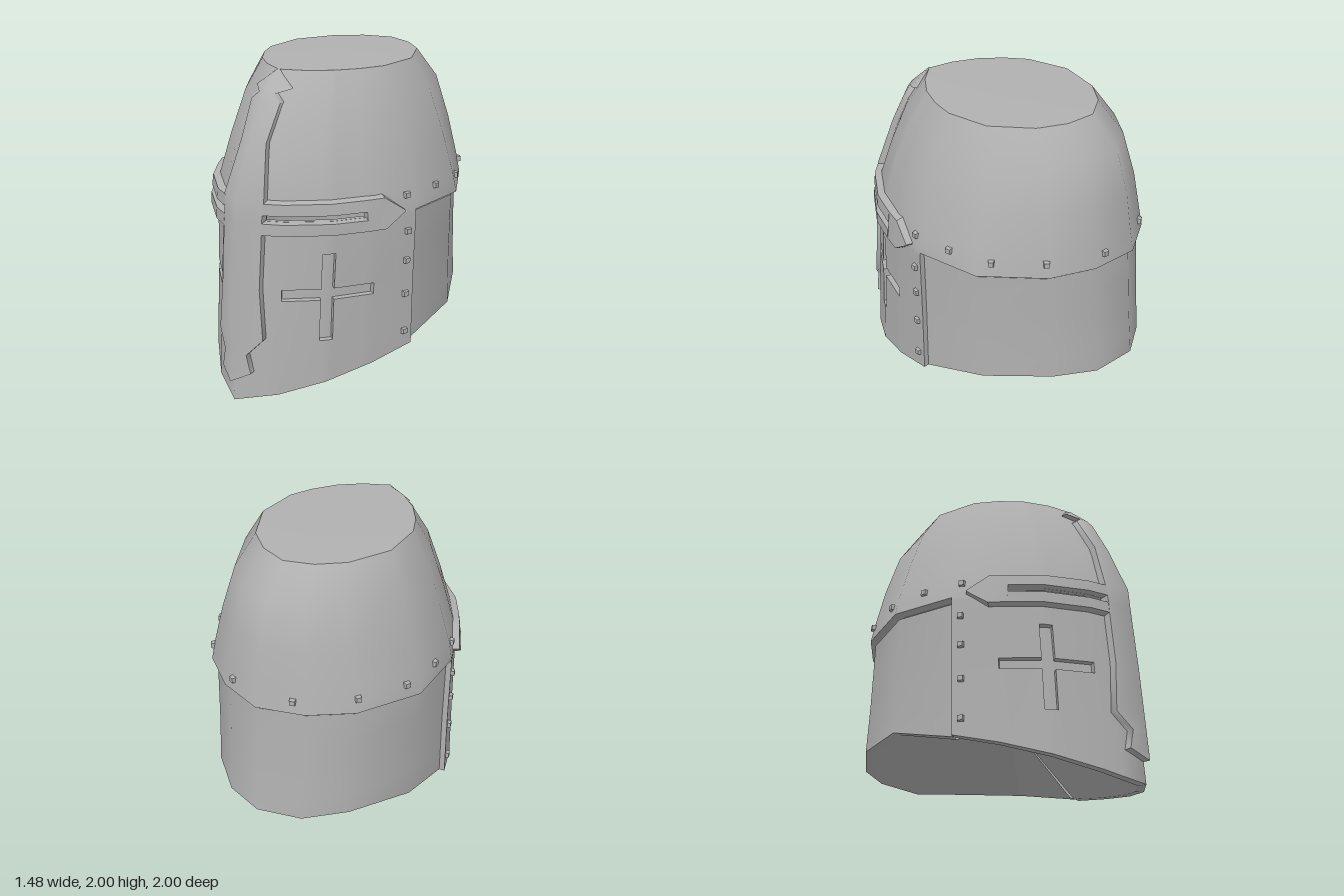
import * as THREE from 'three';
import { toCreasedNormals } from 'three/addons/utils/BufferGeometryUtils.js';

// Half outline of the helm (x, z) from the front ridge (u = 0) to the back (u = 8)
const OUTLINE = [[0, .92], [.24, .79], [.45, .6], [.61, .36], [.72, .1], [.74, -.32], [.53, -.69], [.29, -.87], [0, -.96]];
// Height, width factor, front reach, back reach
const PROFILE = [[0, .98, .97, 1.07], [.7, .985, .92, 1.0], [1.15, 1, .88, .965], [1.28, .965, .87, .94],
  [1.53, .865, .775, .9], [1.8, .745, .65, .82], [2, .6, .495, .635]];
// Height of the lower edge at each outline point
const HEM = [.005, .055, .125, .2, .27, .385, .41, .385, .4];

const lerp = THREE.MathUtils.lerp;
function sampleHalf(table, u) {
  const i = Math.min(Math.floor(u), table.length - 2);
  return [table[i], table[i + 1], u - i];
}
function profile(y) {
  let i = 0;
  while (i < PROFILE.length - 2 && y > PROFILE[i + 1][0]) i++;
  const a = PROFILE[i], b = PROFILE[i + 1], t = (y - a[0]) / (b[0] - a[0]);
  return [1, 2, 3].map(k => lerp(a[k], b[k], t));
}
// Point on the helm surface; negative u is the mirrored side
function surface(u, y) {
  let a = Math.abs(u), s = Math.sign(u) || 1;
  if (a > 8) { a = 16 - a; s = -s; }
  const [p, q, t] = sampleHalf(OUTLINE, a), [w, f, b] = profile(y);
  const z = lerp(p[1], q[1], t);
  return new THREE.Vector3(s * w * lerp(p[0], q[0], t), y, z > 0 ? z * f / .92 : z * b / .96);
}
function normalAt(u, y) {
  const d = surface(u + .3, y).sub(surface(u - .3, y));
  return new THREE.Vector3(-d.z, 0, d.x).normalize();
}
const at = (u, y, d) => surface(u, y).addScaledVector(normalAt(u, y), d);

function quad(out, a, b, c, d) {
  for (const p of [a, b, c, a, c, d]) out.push(p.x, p.y, p.z);
}
function toMesh(name, positions, material, crease = 1.1) {
  const g = new THREE.BufferGeometry();
  g.setAttribute('position', new THREE.Float32BufferAttribute(positions, 3));
  const mesh = new THREE.Mesh(toCreasedNormals(g, crease), material);
  mesh.name = name;
  return mesh;
}

// Raised plate lying on the surface: rows of [u, y], and a bevelled top of [u, y, height]
function slab(out, base, top) {
  const lo = base.map(r => r.map(([u, y]) => at(u, y, -.012)));
  const hi = top.map(r => r.map(([u, y, d = .042]) => at(u, y, d)));
  const m = base.length - 1, n = base[0].length - 1;
  const wall = (i, j, k, l) => quad(out, lo[i][j], lo[k][l], hi[k][l], hi[i][j]);
  for (let i = 0; i < m; i++) {
    for (let j = 0; j < n; j++) quad(out, hi[i][j], hi[i][j + 1], hi[i + 1][j + 1], hi[i + 1][j]);
    wall(i, n, i + 1, n);
    wall(i + 1, 0, i, 0);
  }
  for (let j = 0; j < n; j++) {
    wall(0, j, 0, j + 1);
    wall(m, j + 1, m, j);
  }
}

export function createModel() {
  const helm = new THREE.Group();
  helm.name = 'helm';
  const steel = new THREE.MeshStandardMaterial({ color: 0xb0b0b0, side: THREE.DoubleSide });
  steel.name = 'steel grey';

  // Surface grid, with lines along the edges of every opening
  const half = [.58, 1, 1.84, 2, 2.12, 2.76, 3, 4, 5, 6, 7, 8];
  const us = [...half.map(u => -u).reverse(), 0, ...half];
  const rows = [0, .4, .66, .73, .95, 1.13, 1.155, 1.195, 1.28, 1.53, 1.8, 1.985];
  const yAt = (j, u) => {
    const a = Math.abs(u);
    if (j === 0) { const [p, q, t] = sampleHalf(HEM, a); return lerp(p, q, t); }
    return j === 1 ? .4 + .15 * THREE.MathUtils.clamp(a - 4, 0, 1) : rows[j];
  };
  const DEPTH = { shell: 0, groove: .04, slit: .03, skirt: .035, seam: .07 };
  const kind = (i, j) => {
    const a = Math.abs(us[i] + us[i + 1]) / 2;
    if (a > 4 && j < 5) return 'skirt';
    if (a > 4 && j === 5) return 'seam';
    if (j === 6 && a > .58 && a < 2.76) return 'slit';
    if (j === 2 && a > 1 && a < 3) return 'groove';
    if (j >= 1 && j <= 3 && a > 1.84 && a < 2.12) return 'groove';
    return 'shell';
  };
  const parts = { shell: [], groove: [], slit: [], skirt: [], seam: [] };
  const nu = us.length - 1, nv = rows.length - 1;
  for (let i = 0; i < nu; i++) for (let j = 0; j < nv; j++) {
    const type = kind(i, j), d = DEPTH[type], out = parts[type];
    const P = ([k, l], depth) => at(us[k], yAt(l, us[k]), -depth);
    const c = [[i, j], [i + 1, j], [i + 1, j + 1], [i, j + 1]];
    if (type !== 'slit') quad(out, ...c.map(k => P(k, d)));
    // Walls around sunken cells
    [[i, j - 1], [i + 1, j], [i, j + 1], [i - 1, j]].forEach(([ni, nj], e) => {
      if (ni < 0 || nj < 0 || ni >= nu || nj >= nv) return;
      const nd = DEPTH[kind(ni, nj)];
      if (nd >= d) return;
      const p = c[e], q = c[(e + 1) % 4];
      quad(out, P(p, nd), P(q, nd), P(q, d), P(p, d));
    });
  }
  helm.add(toMesh('domeAndFacePlate', parts.shell, steel), toMesh('breathCrosses', parts.groove, steel),
    toMesh('eyeSlitEdges', parts.slit, steel), toMesh('backSkirt', parts.skirt, steel),
    toMesh('skirtSeam', parts.seam, steel));

  // Flat crown, lower lip and the hollow, cone-shaped underside
  const crown = [], lip = [], under = [];
  const peak = new THREE.Vector3(0, 2, -.05), hub = new THREE.Vector3(0, .62, .02);
  for (let i = 0; i < nu; i++) {
    const [u, v] = [us[i], us[i + 1]], d = DEPTH[kind(i, 0)];
    crown.push(...at(u, 1.985, 0), ...at(v, 1.985, 0), ...peak);
    const rim = (k, depth) => at(k, yAt(0, k), -depth);
    const a = rim(u, d + .05), b = rim(v, d + .05);
    quad(lip, a, b, rim(v, d), rim(u, d));
    under.push(...hub, ...b, ...a);
  }
  helm.add(toMesh('crown', crown, steel, .3), toMesh('lowerLip', lip, steel), toMesh('underside', under, steel, .05));

  // Upright of the face cross: height, half width and plate height, thinning out at the crown
  const upright = [[.145, .004], [.2, .105], [.32, .08], [.42, .165], [.74, .14], [1.06, .142], [1.155, .14], [1.28, .147],
    [1.6, .09], [1.82, .105], [1.865, .055], [1.89, .125, .035], [1.985, .02, .006]];
  const uprightRows = inset => upright.map(([y, w, d]) => {
    const u = Math.max(w - inset, .003) / (.24 * profile(y)[0]);
    return [[-u, y, d], [0, y, d], [u, y, d]];
  });
  const cross = [];
  slab(cross, uprightRows(0), uprightRows(.015));

  // Arms of the face cross, framing the eye slits
  const arms = [];
  for (const s of [1, -1]) {
    const side = pts => s > 0 ? pts : pts.map(([u, y]) => [-u, y]).reverse();
    const beam = (y0, y1) => [y0, y1].map(y => side([.53, 1, 2, 2.76].map(u => [u, y])));
    const end = k => [
      side([[2.76, 1.065 + k], [3.17, 1.065 + k], [3.68 - 2 * k, 1.17]]),
      side([[2.76, 1.285 - k], [3.17, 1.285 - k], [3.68 - 2 * k, 1.175]])];
    slab(arms, beam(1.195, 1.285), beam(1.2, 1.27));
    slab(arms, beam(1.065, 1.155), beam(1.08, 1.15));
    slab(arms, end(0), end(.015));
  }
  helm.add(toMesh('faceCrossUpright', cross, steel), toMesh('faceCrossArms', arms, steel, .6));

  // Rivets along the brow band and down the face plate edges
  const rivets = new THREE.Group();
  rivets.name = 'rivets';
  const rivetShape = new THREE.CylinderGeometry(.022, .032, .05, 4).toNonIndexed();
  rivetShape.rotateY(Math.PI / 4).rotateX(Math.PI / 2);
  rivetShape.computeVertexNormals();
  const spots = [[3.8, 1.25], [4.52, 1.25], [5.2, 1.24], [5.97, 1.245], [7.25, 1.23],
    [3.8, 1.025], [3.8, .835], [3.8, .615], [3.8, .365]];
  for (const s of [1, -1]) for (const [u, y] of spots) {
    const rivet = new THREE.Mesh(rivetShape, steel);
    const n = normalAt(s * u, y);
    rivet.name = 'rivet';
    rivet.position.copy(at(s * u, y, -.004));
    rivet.rotation.y = Math.atan2(n.x, n.z);
    rivets.add(rivet);
  }
  helm.add(rivets);
  return helm;
}
